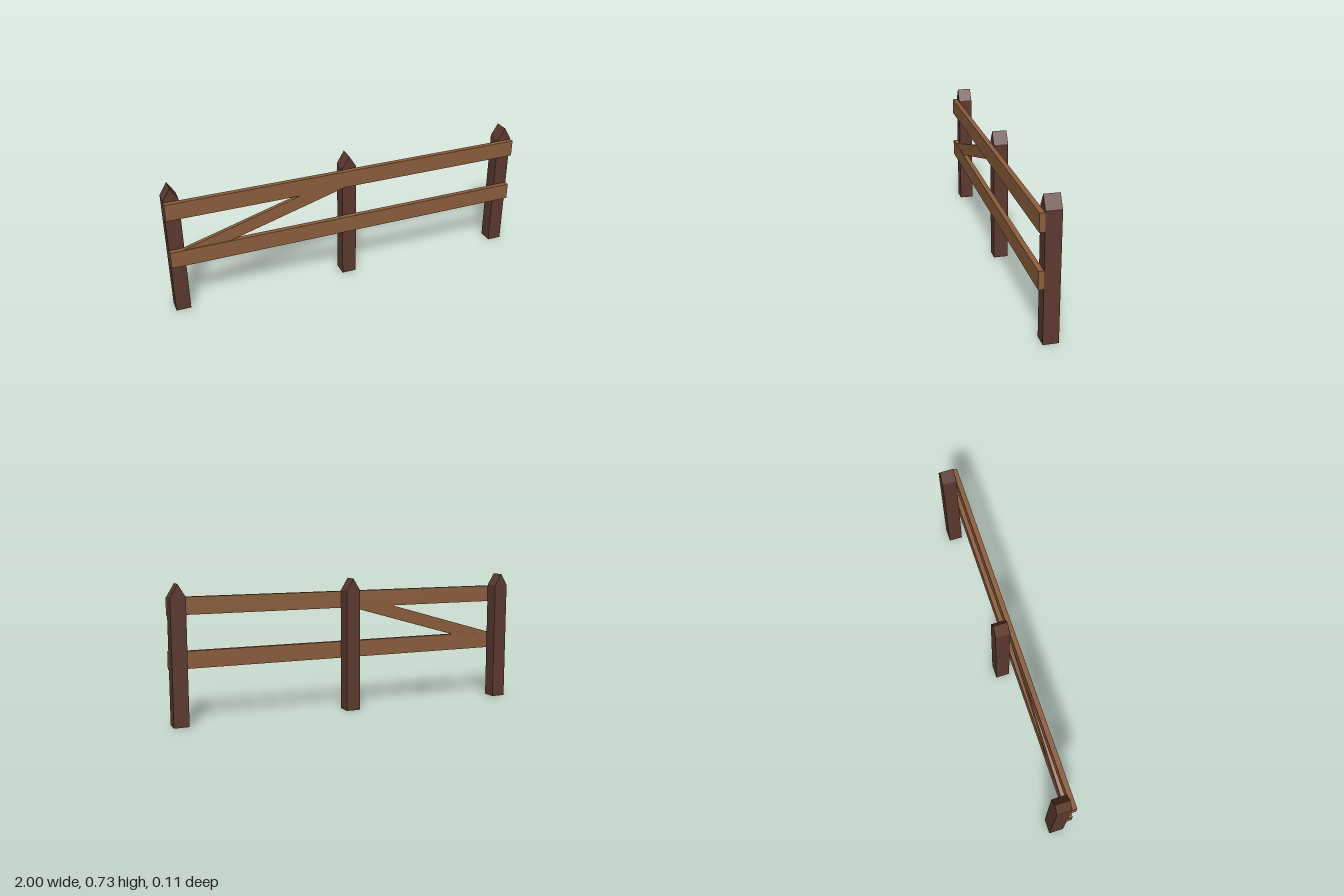
import * as THREE from 'three';

const POST_W = 0.08, POST_BACK = -0.053, POST_FRONT = 0.026;
const SHOULDER = 0.667, PEAK = 0.733;

export function createModel() {
  const fence = new THREE.Group();
  fence.name = 'fence';
  const postMat = new THREE.MeshStandardMaterial({ color: 0x5c3a2e, flatShading: true });
  const railMat = new THREE.MeshStandardMaterial({ color: 0x8b5e3c, flatShading: true });

  function add(name, geometry, material, x, y, z) {
    const mesh = new THREE.Mesh(geometry, material);
    mesh.name = name;
    mesh.position.set(x, y, z);
    fence.add(mesh);
    return mesh;
  }

  // Posts: gabled outline with the ridge running front to back
  const h = POST_W / 2;
  const outline = new THREE.Shape([
    new THREE.Vector2(-h, 0), new THREE.Vector2(h, 0),
    new THREE.Vector2(h, SHOULDER), new THREE.Vector2(0, PEAK), new THREE.Vector2(-h, SHOULDER),
  ]);
  const postGeo = new THREE.ExtrudeGeometry(outline, { depth: POST_FRONT - POST_BACK, bevelEnabled: false });
  const posts = { rightPost: h - 1, middlePost: 0, leftPost: 1 - h };
  for (const [name, x] of Object.entries(posts)) add(name, postGeo, postMat, x, 0, POST_BACK);

  // Rails: two boards fixed to the front of the posts
  const railGeo = new THREE.BoxGeometry(2, 0.092, 0.027);
  add('lowerRail', railGeo, railMat, 0, 0.334, 0.0395);
  add('upperRail', railGeo, railMat, 0, 0.614, 0.0395);

  // Brace: slanted board with its ends tucked inside the rails
  const brace = add('diagonalBrace', new THREE.BoxGeometry(0.915, 0.07, 0.022), railMat, -0.48, 0.474, 0.038);
  brace.rotation.z = 0.28;

  return fence;
}
